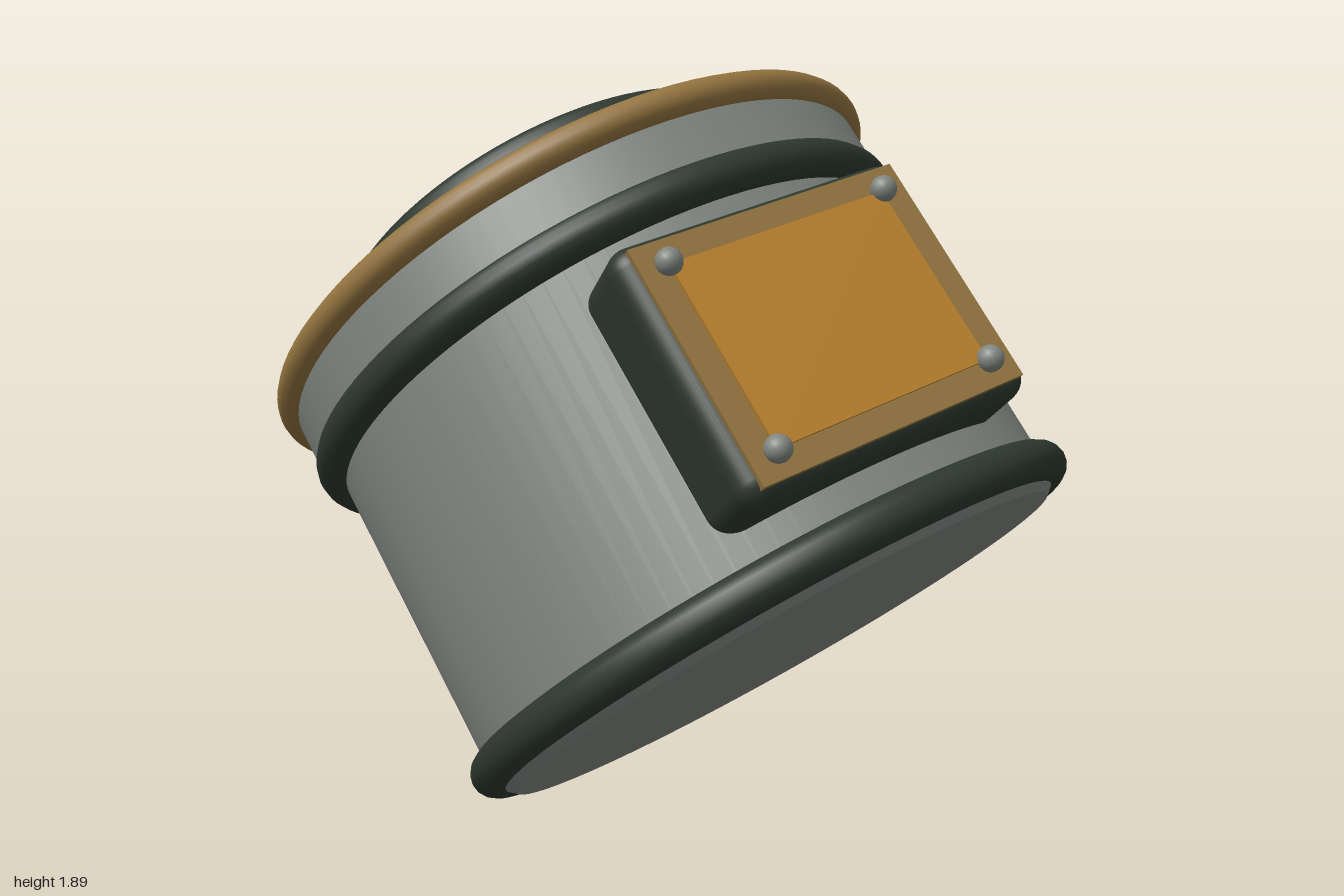
import * as THREE from 'three';
import { RoundedBoxGeometry } from 'three/addons/geometries/RoundedBoxGeometry.js';

const mat = (name, color) => {
  const m = new THREE.MeshStandardMaterial({ color });
  m.name = name;
  return m;
};

export function createModel() {
  const steel = mat('steel grey', 0x7f8580);
  const dark = mat('dark green', 0x2c372e);
  const brass = mat('brass', 0x92733f);
  const amber = mat('amber', 0xb8802e);

  const model = new THREE.Group();
  model.name = 'tiltedCanister';

  const add = (name, geometry, material, x = 0, y = 0, z = 0) => {
    const mesh = new THREE.Mesh(geometry, material);
    mesh.name = name;
    mesh.position.set(x, y, z);
    model.add(mesh);
    return mesh;
  };
  const ring = (name, radius, tube, y, material) =>
    add(name, new THREE.TorusGeometry(radius, tube, 16, 96).rotateX(Math.PI / 2), material, 0, y, 0);
  const drum = (name, radius, y0, y1, material) =>
    add(name, new THREE.CylinderGeometry(radius, radius, y1 - y0, 96), material, 0, (y0 + y1) / 2, 0);

  // Drum: straight wall with a small bevel round the base
  drum('body', 0.785, -0.035, 0.87, steel);
  add('baseBevel', new THREE.CylinderGeometry(0.785, 0.75, 0.03, 96), steel, 0, -0.05, 0);
  drum('lid', 0.82, 0.86, 1.05, steel);

  // Hoops
  ring('bottomHoop', 0.785, 0.05, 0, dark);
  ring('middleHoop', 0.787, 0.05, 0.847, dark);
  ring('lidRim', 0.815, 0.04, 1.037, brass);

  // Raised cap with a round inlay
  drum('cap', 0.585, 1.04, 1.18, dark);
  ring('capEdge', 0.57, 0.045, 1.18, dark);
  drum('capInlay', 0.567, 1.17, 1.226, amber);

  // Studs round the foot of the cap
  for (let i = 0; i < 6; i++) {
    const a = Math.PI / 6 + (i * Math.PI) / 3;
    add('capStud', new THREE.SphereGeometry(0.035, 16, 12), brass,
      0.58 * Math.sin(a), 1.065, 0.58 * Math.cos(a));
  }

  // Front panel: housing, frame, face plate and corner rivets
  const py = 0.425;
  add('panelHousing', new RoundedBoxGeometry(0.78, 0.62, 0.3, 5, 0.055), dark, 0, py, 0.727);
  add('panelFrame', new THREE.BoxGeometry(0.71, 0.565, 0.03), brass, 0, py, 0.869);
  add('panelFace', new THREE.BoxGeometry(0.575, 0.445, 0.009), amber, 0, py, 0.8865);
  for (const sx of [-1, 1]) {
    for (const sy of [-1, 1]) {
      add('panelRivet', new THREE.SphereGeometry(0.03, 20, 14), steel, sx * 0.29, py + sy * 0.2245, 0.897);
    }
  }

  // Tip the whole drum over: its axis leans back and to the right
  const up = new THREE.Vector3(-0.487, 0.794, -0.364).normalize();
  const front = new THREE.Vector3(0.337, 0.56, 0.7545);
  const side = new THREE.Vector3().crossVectors(up, front).normalize();
  front.crossVectors(side, up);
  model.quaternion.setFromRotationMatrix(new THREE.Matrix4().makeBasis(side, up, front));
  model.position.set(0.265, 0.53, 0.19);

  const root = new THREE.Group();
  root.name = 'model';
  root.add(model);
  return root;
}
